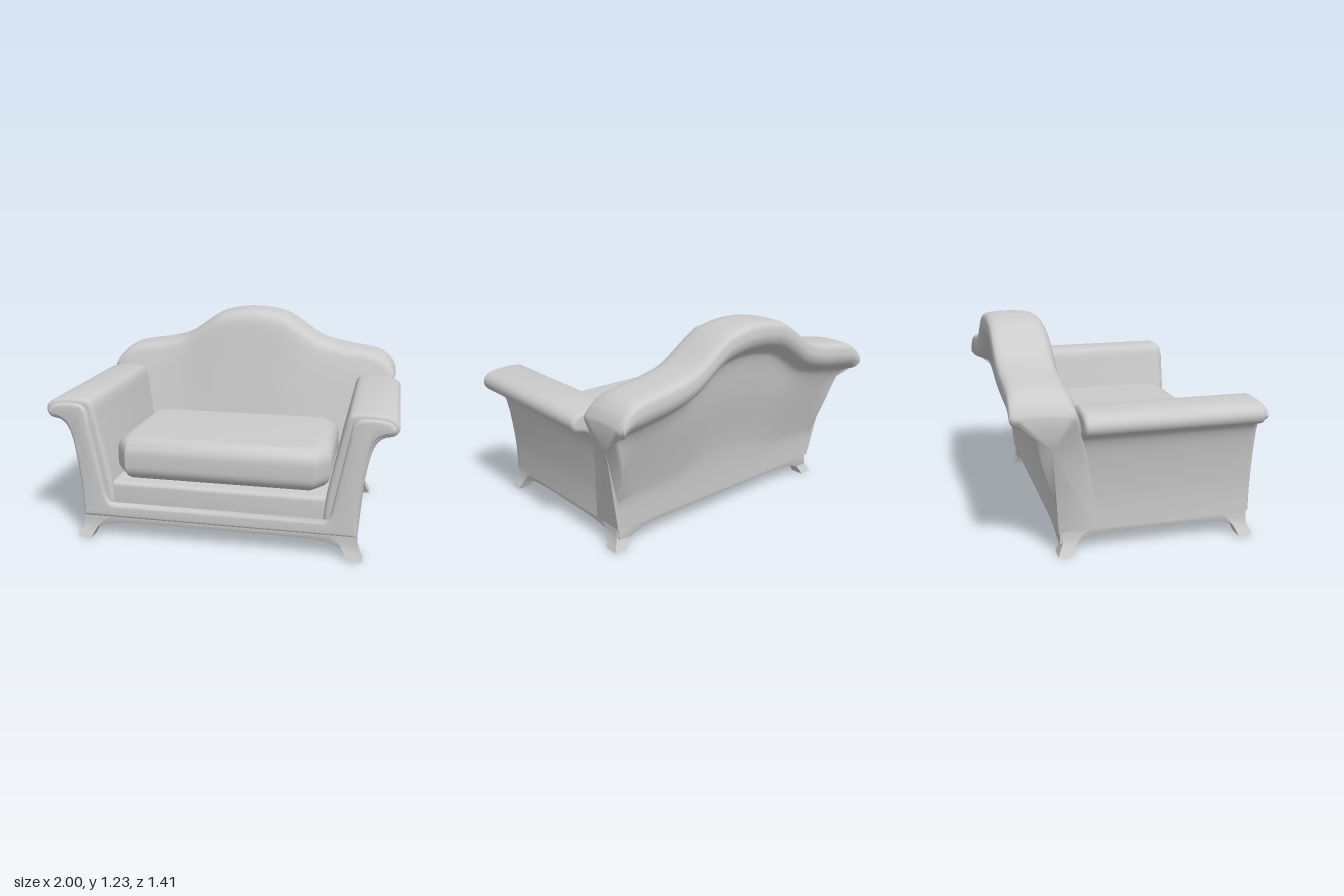
import * as THREE from 'three';
import { toCreasedNormals } from 'three/addons/utils/BufferGeometryUtils.js';

const V2 = (x, y) => new THREE.Vector2(x, y);
const material = new THREE.MeshStandardMaterial({ color: 0xcccccc, roughness: 0.8 });

function part(group, name, geometry, crease = 0.7) {
  const mesh = new THREE.Mesh(toCreasedNormals(geometry, crease), material);
  mesh.name = name;
  group.add(mesh);
  return mesh;
}

// Skin over closed loops of Vector3, with fan caps on both ends
function loft(sections) {
  const n = sections[0].length, last = sections.length - 1;
  const pts = sections.flat(), index = [];
  for (let j = 0; j < last; j++) {
    for (let i = 0; i < n; i++) {
      const k = (i + 1) % n;
      const a = j * n + i, b = a + n, c = (j + 1) * n + k, d = j * n + k;
      index.push(a, b, c, a, c, d);
    }
  }
  for (const j of [0, last]) {
    const center = new THREE.Vector3();
    sections[j].forEach(p => center.addScaledVector(p, 1 / n));
    pts.push(center);
    for (let i = 0; i < n; i++) {
      const a = j * n + i, b = j * n + (i + 1) % n;
      index.push(pts.length - 1, ...(j ? [b, a] : [a, b]));
    }
  }
  const geometry = new THREE.BufferGeometry().setFromPoints(pts);
  geometry.setIndex(index);
  return geometry;
}

// Extrusion along z from z0 to z1 whose rounded edges stay inside the outline
function bar(shape, z0, z1, bevel, segments = 4) {
  return new THREE.ExtrudeGeometry(shape, {
    depth: z1 - z0 - 2 * bevel, bevelSize: bevel, bevelThickness: bevel,
    bevelOffset: -bevel, bevelSegments: segments, curveSegments: 12,
  }).translate(0, 0, z0 + bevel);
}

// Half-width of the flared body at height y
const flare = y => 0.8 + 0.16 * Math.pow(Math.min(1, Math.max(0, (y - 0.13) / 0.69)), 2.5);

// Scrolled arm cross-section; side is +1 or -1
function armShape(side) {
  const outline = new THREE.SplineCurve([
    [0.80, 0.13], [0.805, 0.3], [0.832, 0.5], [0.865, 0.64], [0.91, 0.7], [0.975, 0.72], [0.998, 0.76],
    [0.985, 0.80], [0.94, 0.825], [0.86, 0.835], [0.765, 0.832], [0.722, 0.805], [0.695, 0.7], [0.63, 0.4], [0.61, 0.25],
  ].map(([x, y]) => V2(x * side, y))).getPoints(56);
  return new THREE.Shape([...outline, V2(0.61 * side, 0.13)]);
}

// U-shaped facing across both arm fronts and the lower rail
function facingShape() {
  const half = [
    ...new THREE.SplineCurve([
      V2(0.795, 0.135), V2(0.797, 0.3), V2(0.82, 0.5), V2(0.85, 0.65), V2(0.895, 0.715), V2(0.962, 0.735),
      V2(0.978, 0.765), V2(0.94, 0.8), V2(0.86, 0.81), V2(0.785, 0.805), V2(0.75, 0.77),
    ]).getPoints(40),
    ...new THREE.SplineCurve([V2(0.735, 0.68), V2(0.675, 0.38), V2(0.648, 0.25), V2(0.61, 0.215)]).getPoints(10),
  ];
  return new THREE.Shape([...half, ...half.map(p => V2(-p.x, p.y)).reverse()]);
}

// One backrest loop at width x with its crest at height t
function backSection(x, t, depthScale) {
  const r = Math.min(1, (t - 0.72) / 0.25);
  const front = f => 0.35 + (t - 0.35) * f;
  const profile = new THREE.SplineCurve([
    [-0.2, 0.13], [-0.21, 0.35], [-0.255, front(0.3)], [-0.315, front(0.65)], [-0.355, t - 0.1 * r],
    [-0.385, t - 0.035 * r], [-0.44, t - 0.008], [-0.53, t], [-0.64, t - 0.003], [-0.69, t - 0.02 * r],
    [-0.702, t - 0.06 * r], [-0.70, t - 0.1 * r], [-0.675, t - 0.145 * r], [-0.61, t - 0.19 * r],
    [-0.575, t - 0.25 * r], [-0.535, 0.13 + (t - 0.13) * 0.57], [-0.465, 0.13 + (t - 0.13) * 0.3],
    [-0.442, 0.28], [-0.435, 0.13],
  ].map(([z, y]) => V2(z, y))).getPoints(72);
  return profile.map(p => new THREE.Vector3(
    x * flare(p.y) / 0.96, p.y, -0.42 + (p.x + 0.42) * depthScale));
}

function backrest() {
  const half = [[0.09, 1.22], [0.21, 1.195], [0.3, 1.145], [0.45, 1.045], [0.6, 1.0],
    [0.76, 0.975], [0.86, 0.95], [0.92, 0.905], [0.945, 0.87]];
  const crest = new THREE.SplineCurve([
    ...half.map(([x, y]) => V2(-x, y)).reverse(), V2(0, 1.225), ...half.map(([x, y]) => V2(x, y)),
  ]).getPoints(72);
  const sections = crest.map(p => backSection(p.x, p.y, 1));
  const end = (x, t, s) => backSection(x, t, s);
  return loft([end(-0.962, 0.83, 0.84), end(-0.957, 0.845, 0.93), ...sections,
    end(0.957, 0.845, 0.93), end(0.962, 0.83, 0.84)]);
}

// Seat cushion with clipped corners and puffy edges
function cushionGeometry() {
  const w = 0.63, d = 0.4, c = 0.08;
  const shape = new THREE.Shape([
    V2(w - c, -d), V2(w, -d + c * 1.4), V2(w, d - c * 1.4), V2(w - c, d),
    V2(-w + c, d), V2(-w, d - c * 1.4), V2(-w, -d + c * 1.4), V2(-w + c, -d),
  ]);
  return bar(shape, -0.125, 0.125, 0.09, 8).rotateX(-Math.PI / 2).translate(0, 0.465, 0.22);
}

// Plinth strip whose lower edge sweeps down into the feet
function apronStrip(halfLength) {
  const l = halfLength;
  const shape = new THREE.Shape();
  shape.moveTo(-l, 0.14);
  shape.lineTo(-l, 0.06);
  shape.lineTo(-l + 0.09, 0.06);
  shape.quadraticCurveTo(-l + 0.13, 0.095, -l + 0.36, 0.1);
  shape.lineTo(l - 0.36, 0.1);
  shape.quadraticCurveTo(l - 0.13, 0.095, l - 0.09, 0.06);
  shape.lineTo(l, 0.06);
  shape.lineTo(l, 0.14);
  return bar(shape, -0.035, 0.035, 0.006, 2);
}

// Splayed foot, stacked from square sections
function foot(sx, sz) {
  const rows = [[0, 0.79, 0.53, 0.042], [0.03, 0.775, 0.517, 0.041], [0.065, 0.757, 0.5, 0.043],
    [0.1, 0.74, 0.485, 0.056], [0.135, 0.715, 0.46, 0.08]];
  return loft(rows.map(([y, x, z, h]) => {
    const loop = [[1, 1], [-1, 1], [-1, -1], [1, -1]].map(([a, b]) =>
      new THREE.Vector3(sx * (x + a * h), y, 0.13 + sz * (z + b * h)));
    return sx * sz > 0 ? loop : loop.reverse();
  }));
}

export function createModel() {
  const group = new THREE.Group();
  group.name = 'armchair';

  part(group, 'backrest', backrest(), 0.8);
  for (const [name, side] of [['leftArm', 1], ['rightArm', -1]]) {
    part(group, name, bar(armShape(side), -0.33, 0.665, 0.025), 0.8);
  }
  part(group, 'frontFacing', bar(facingShape(), 0.6, 0.688, 0.018), 0.8);

  // Seat deck under the cushion
  const deck = new THREE.Shape([V2(-0.7, 0.13), V2(0.7, 0.13), V2(0.7, 0.34), V2(-0.7, 0.34)]);
  part(group, 'seatDeck', bar(deck, -0.4, 0.645, 0.03));
  part(group, 'seatCushion', cushionGeometry(), 0.8);

  // Plinth
  part(group, 'bottomPanel', new THREE.BoxGeometry(1.56, 0.035, 1.07).translate(0, 0.1185, 0.12));
  for (const [name, z] of [['frontApron', 0.632], ['backApron', -0.392]]) {
    part(group, name, apronStrip(0.79)).position.z = z;
  }
  for (const [name, x] of [['leftApron', 0.755], ['rightApron', -0.755]]) {
    const apron = part(group, name, apronStrip(0.545));
    apron.rotation.y = Math.PI / 2;
    apron.position.set(x, 0, 0.12);
  }
  for (const sx of [1, -1]) {
    for (const sz of [1, -1]) {
      part(group, (sz > 0 ? 'front' : 'back') + (sx > 0 ? 'Left' : 'Right') + 'Foot', foot(sx, sz), 0.6);
    }
  }
  return group;
}
